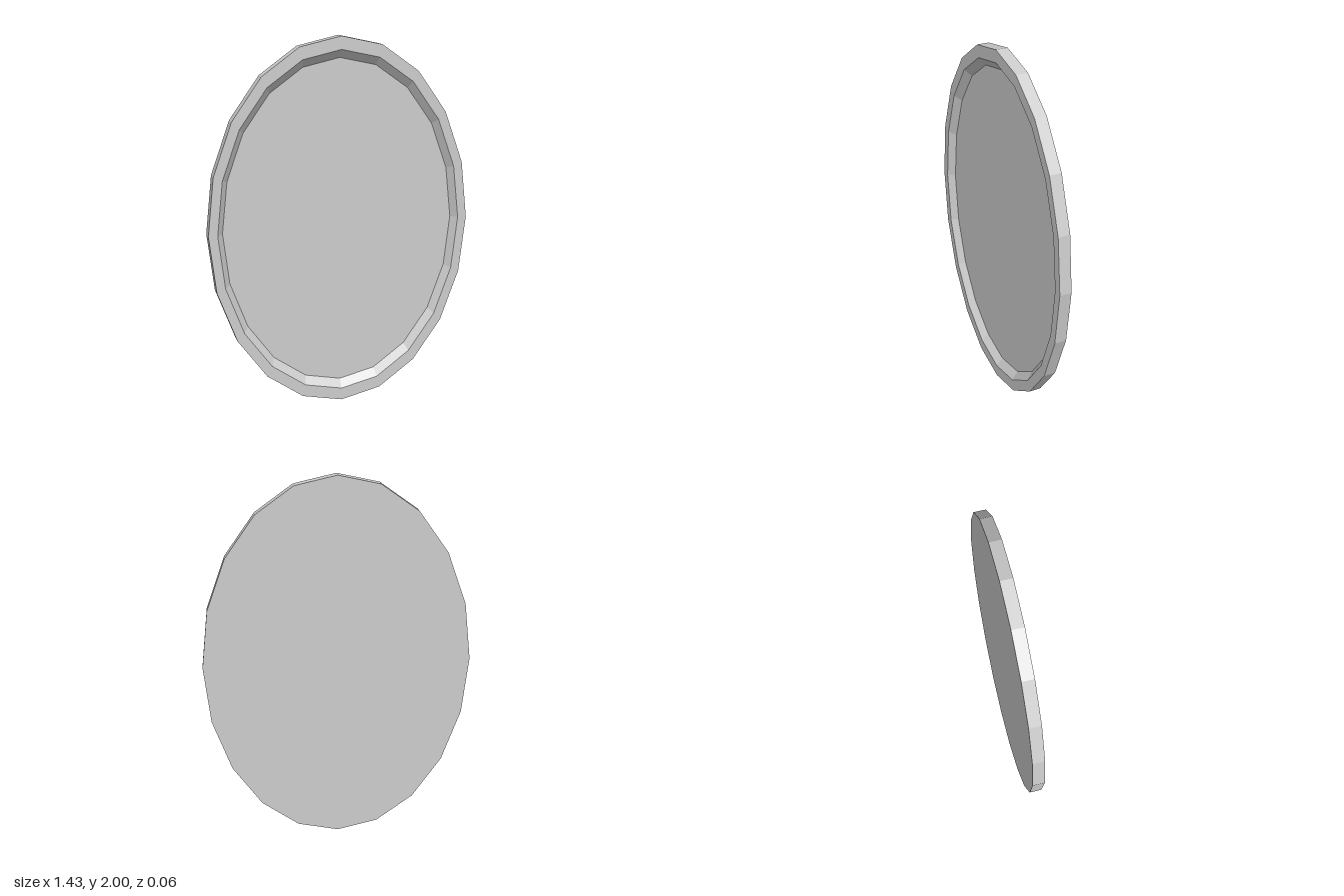
import * as THREE from 'three';

const SIDES = 20;
const HALF_WIDTH = 0.713; // half height is 1
const FRONT = 0.032, BACK = -0.032, FLOOR = -0.004;
const RIM_INNER = 0.932, FLOOR_RADIUS = 0.888;

export function createModel() {
  const model = new THREE.Group();
  model.name = 'ovalPlaque';
  const material = new THREE.MeshStandardMaterial({ color: 0xcccccc, flatShading: true });

  // Squash a round part into the oval and stand it on the ground
  const addPart = (name, geometry) => {
    geometry.scale(HALF_WIDTH, 1, 1).translate(0, 1, 0);
    const flat = geometry.toNonIndexed();
    flat.computeVertexNormals();
    const mesh = new THREE.Mesh(flat, material);
    mesh.name = name;
    model.add(mesh);
  };

  // Rim: outer wall, flat front lip and sloped inner bevel
  const profile = [[1, BACK], [1, FRONT], [RIM_INNER, FRONT], [FLOOR_RADIUS, FLOOR]]
    .map(([r, z]) => new THREE.Vector2(r, z));
  addPart('rim', new THREE.LatheGeometry(profile, SIDES).rotateX(Math.PI / 2));

  // Recessed front panel
  addPart('frontPanel', new THREE.CircleGeometry(FLOOR_RADIUS, SIDES).translate(0, 0, FLOOR));

  // Flat back
  addPart('backPanel', new THREE.CircleGeometry(1, SIDES).rotateY(Math.PI).translate(0, 0, BACK));

  return model;
}
